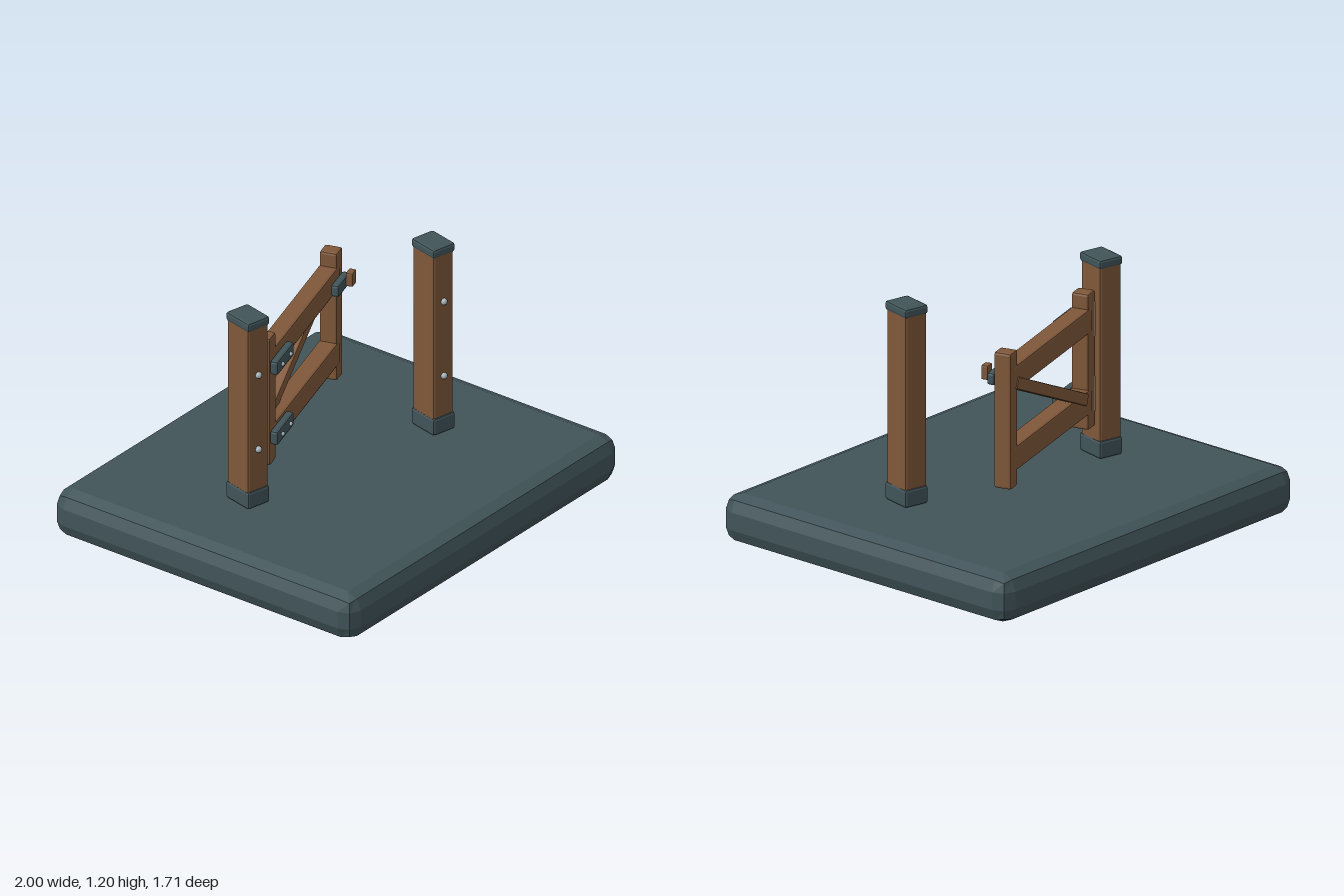
import * as THREE from 'three';
import { RoundedBoxGeometry } from 'three/addons/geometries/RoundedBoxGeometry.js';

const wood = new THREE.MeshStandardMaterial({ color: 0x80583a });
const slate = new THREE.MeshStandardMaterial({ color: 0x415459 });
const steel = new THREE.MeshStandardMaterial({ color: 0xa6b5b9 });

// Box with faceted, bevelled edges
function block(parent, name, material, size, position, bevel = 0.012) {
  const geometry = new RoundedBoxGeometry(...size, 1, bevel);
  geometry.computeVertexNormals();
  const mesh = new THREE.Mesh(geometry, material);
  mesh.name = name;
  mesh.position.set(...position);
  parent.add(mesh);
  return mesh;
}

// Domed bolt head facing +z
function bolt(parent, name, radius, position) {
  const mesh = new THREE.Mesh(new THREE.SphereGeometry(radius, 12, 8), steel);
  mesh.name = name;
  mesh.position.set(...position);
  parent.add(mesh);
}

function group(parent, name, x, z, turn) {
  const g = new THREE.Group();
  g.name = name;
  g.position.set(x, 0, z);
  g.rotation.y = turn;
  parent.add(g);
  return g;
}

export function createModel() {
  const model = new THREE.Group();
  model.name = 'gateOnBase';
  block(model, 'base', slate, [2, 0.235, 1.714], [0, 0.1175, 0], 0.075);

  // Posts with caps, feet and bolts
  const posts = [['hingePost', -0.53, -0.093], ['latchPost', 0.525, 0.148]].map(([name, x, z]) => {
    const post = group(model, name, x, z, -0.225);
    block(post, 'postShaft', wood, [0.12, 0.9, 0.147], [0, 0.725, 0]);
    block(post, 'postCap', slate, [0.128, 0.045, 0.162], [0, 1.1725, 0]);
    block(post, 'postFoot', slate, [0.128, 0.087, 0.162], [0, 0.2825, 0]);
    for (const y of [0.53, 0.912]) bolt(post, 'postBolt', 0.016, [0, y, 0.077]);
    return post;
  });

  // Swinging gate, standing open
  const gate = group(model, 'gate', -0.011, -0.21, 0.295);
  for (const side of [-1, 1]) {
    block(gate, 'stile', wood, [0.078, 0.655, 0.086], [side * 0.424, 0.7175, 0]);
  }
  for (const y of [0.525, 0.913]) {
    block(gate, 'rail', wood, [0.845, 0.118, 0.092], [0, y, 0]);
  }
  const brace = block(gate, 'brace', wood, [0.84, 0.057, 0.05], [0.02, 0.718, -0.028], 0.008);
  brace.rotation.z = 0.42;

  // Hinge straps on the gate and plates on the post
  for (const y of [0.545, 0.905]) {
    block(gate, 'hingeStrap', slate, [0.212, 0.07, 0.04], [-0.371, y, 0.066]);
    for (const x of [-0.42, -0.32]) bolt(gate, 'hingeBolt', 0.011, [x, y, 0.087]);
    block(posts[0], 'hingePlate', steel, [0.01, 0.17, 0.08], [0.062, y, 0], 0.003);
  }

  // Latch with wooden handle
  block(gate, 'latchPlate', slate, [0.15, 0.06, 0.04], [0.371, 0.903, 0.066]);
  block(gate, 'latchHandle', wood, [0.052, 0.07, 0.036], [0.408, 0.925, 0.102], 0.008);
  return model;
}
